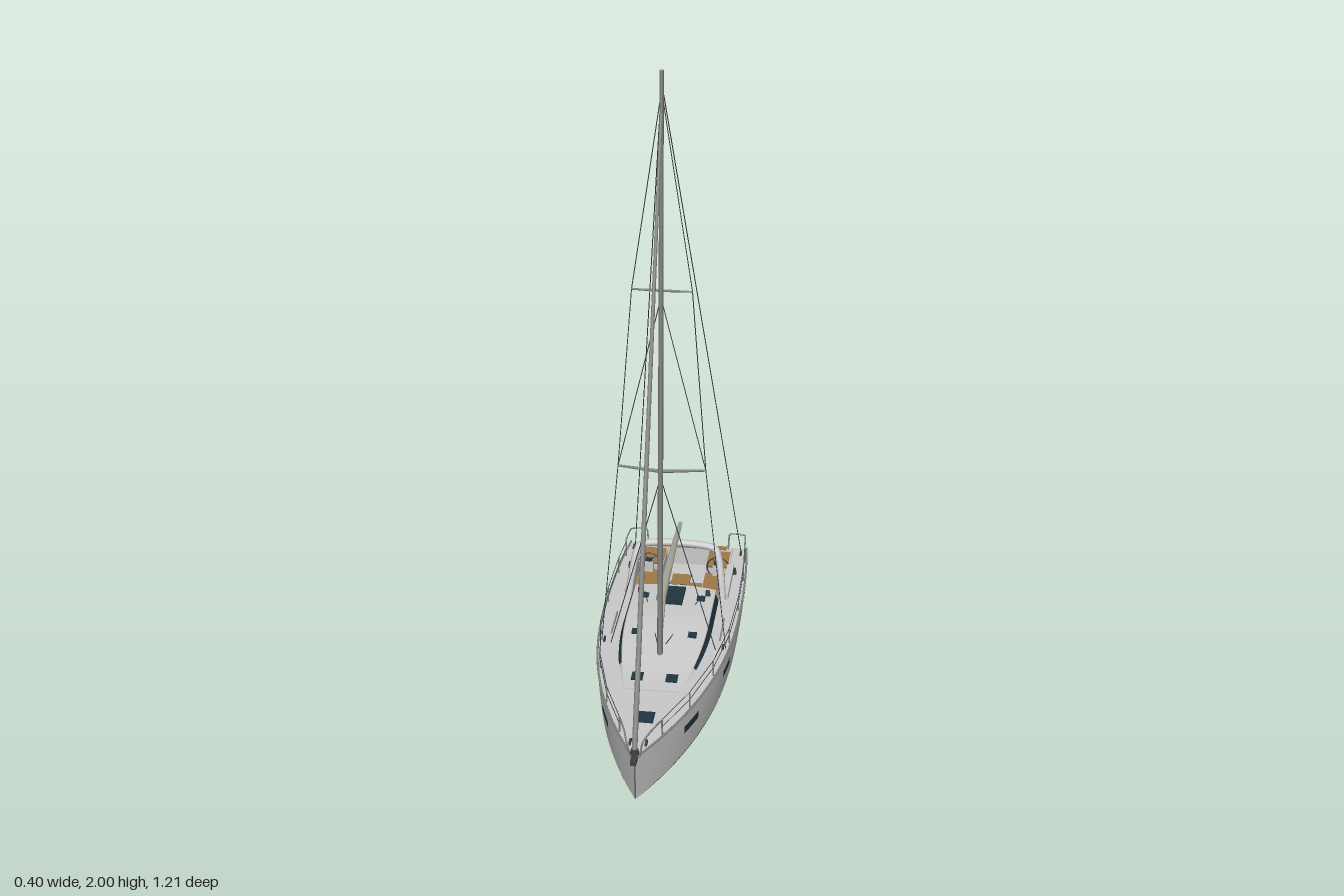
import * as THREE from 'three';
import { toCreasedNormals } from 'three/addons/utils/BufferGeometryUtils.js';

const mat = (color) => new THREE.MeshStandardMaterial({ color, side: THREE.DoubleSide });
const GREY = mat(0xcccccc), BOTTOM = mat(0x4e5a60), FOIL = mat(0x84949d), GLASS = mat(0x1f3540);
const TEAK = mat(0xa07a48), SPAR = mat(0x858885), DARK = mat(0x3c4042), CANVAS = mat(0xa5a498);
const V = (x, y, z) => new THREE.Vector3(x, y, z);
const range = (n, a, b) => Array.from({ length: n + 1 }, (_, i) => a + (b - a) * i / n);

// Hull lines as functions of z
const sheer = (z) => 0.315 + 0.0215 * z;
const beam = (z) => z > -0.25
  ? 0.197 * (1 - Math.pow(Math.min(1, (z + 0.25) / 0.83), 2.4)) + 0.002
  : 0.199 - 0.018 * Math.pow((-z - 0.25) / 0.355, 2);
const waterY = (z) => 0.198 - 0.013 * z;
const depth = (z) => 0.075 * Math.sin(Math.PI * 0.87 * Math.pow(Math.max(0, (0.58 - z) / 1.185), 0.9));
// Point on the topsides: v = 0 at the deck, 1 at the waterline
const side = (z, v, out = 0) => V(beam(z) * (1 - 0.05 * v * v) + out,
  THREE.MathUtils.lerp(sheer(z), waterY(z), v), z * (1 - 0.025 * v));
// Coachroof lines
const roofHalf = (z) => 0.13 - (z > -0.1 ? 0.05 * ((z + 0.1) / 0.35) ** 2 : 0);
const roofRise = (z) => 0.003 + 0.037 * THREE.MathUtils.smoothstep(0.25 - z, 0, 0.4);
const roofY = (x, z) => sheer(z) + roofRise(z) * (1 - 0.3 * (x / roofHalf(z)) ** 2);

// Skin over a list of equal-length cross-sections
function loft(sections, crease = 0.7) {
  const n = sections[0].length, pos = [], idx = [];
  sections.forEach((s) => s.forEach((p) => pos.push(p.x, p.y, p.z)));
  for (let i = 0; i < sections.length - 1; i++)
    for (let j = 0; j < n - 1; j++) {
      const a = i * n + j, b = a + n;
      idx.push(a, b, a + 1, b, b + 1, a + 1);
    }
  const g = new THREE.BufferGeometry();
  g.setAttribute('position', new THREE.Float32BufferAttribute(pos, 3));
  g.setIndex(idx);
  return toCreasedNormals(g, crease);
}

export function createModel() {
  const model = new THREE.Group();
  model.name = 'sailingYacht';
  const add = (name, geo, material = GREY) => {
    const m = new THREE.Mesh(geo, material);
    m.name = name;
    model.add(m);
    return m;
  };
  const box = (name, w, h, d, x, y, z, material) => {
    const m = add(name, new THREE.BoxGeometry(w, h, d), material);
    m.position.set(x, y, z);
    return m;
  };
  const rod = (name, a, b, r, material = SPAR, r2 = r, sides = 6) => {
    const m = add(name, new THREE.CylinderGeometry(r2, r, a.distanceTo(b), sides), material);
    m.position.copy(a).lerp(b, 0.5);
    m.quaternion.setFromUnitVectors(V(0, 1, 0), b.clone().sub(a).normalize());
    return m;
  };
  const pipe = (name, pts, r, material = SPAR, seg = 40, tension = 0.5) =>
    add(name, new THREE.TubeGeometry(new THREE.CatmullRomCurve3(pts, false, 'catmullrom', tension), seg, r, 8), material);
  const drum = (name, r, h, x, y, z, material = DARK) =>
    add(name, new THREE.CylinderGeometry(r * 0.8, r, h, 14), material).position.set(x, y, z);

  // Hull
  const stations = range(56, -0.605, 0.58);
  const flip = (p) => V(-p.x, p.y, p.z);
  const bilge = (z) => range(20, 0, Math.PI).map((t) => {
    const e = side(z, 1), s = Math.sin(t);
    return V(e.x * Math.cos(t), e.y - depth(z) * Math.pow(s, 1.25), e.z + (z < -0.5 ? 0.2 * s * (-z - 0.5) : 0));
  });
  add('hullBottom', loft(stations.map(bilge), 1.2), BOTTOM);
  const stern = [...range(5, 0, 1).map((v) => side(-0.605, v)), ...bilge(-0.605).slice(0, 11)];
  add('transom', loft([stern, stern.map(flip)]));
  box('transomDoor', 0.25, 0.075, 0.006, 0, 0.25, -0.604);
  box('transomStep', 0.24, 0.006, 0.014, 0, 0.303, -0.597, TEAK);

  // Deck with the cockpit cut out
  const outline = [...stations.map((z) => new THREE.Vector2(beam(z), z)),
    ...stations.slice().reverse().map((z) => new THREE.Vector2(-beam(z), z))];
  const deckShape = new THREE.Shape(outline);
  deckShape.holes.push(new THREE.Path([[-0.14, -0.59], [0.14, -0.59], [0.135, -0.28], [-0.135, -0.28]]
    .map((p) => new THREE.Vector2(...p))));
  const deck = new THREE.ShapeGeometry(deckShape), dp = deck.attributes.position;
  for (let i = 0; i < dp.count; i++) dp.setXYZ(i, dp.getX(i), sheer(dp.getY(i)), dp.getY(i));
  deck.computeVertexNormals();
  add('deck', deck);

  // Coachroof
  const roofSection = (z) => {
    const h = roofHalf(z), top = range(12, -0.92, 0.92).map((k) => V(k * h, roofY(k * h, z), z));
    return [V(-h, sheer(z) - 0.002, z), ...top, V(h, sheer(z) - 0.002, z)];
  };
  add('coachroof', loft(range(24, -0.28, 0.25).map(roofSection), 0.5));
  const aft = roofSection(-0.28);
  add('cabinBulkhead', loft([aft, aft.map((p) => V(p.x, 0.24, p.z))]));
  add('roofFront', loft([roofSection(0.25), roofSection(0.25).map((p) => V(p.x, sheer(0.25), p.z))]));
  const pane = (name, w, d, x, z) => {
    const y = z > 0.25 ? sheer(z) : roofY(x, z);
    box(name, w, 0.006, d, x, y + 0.001, z, GLASS).rotation.x = z > 0.25 ? -0.02 : 0.06;
  };
  pane('foreHatch', 0.05, 0.05, 0, 0.385);
  box('companionwayHatch', 0.066, 0.008, 0.1, 0, 0.351, -0.21, GLASS);
  box('companionwayDoor', 0.066, 0.09, 0.006, 0, 0.302, -0.282, GLASS);

  // Cockpit
  box('cockpitFloor', 0.28, 0.006, 0.315, 0, 0.24, -0.4375);
  box('cockpitSole', 0.115, 0.004, 0.19, 0, 0.245, -0.375, TEAK);
  box('cockpitFront', 0.27, 0.07, 0.004, 0, 0.275, -0.278);
  box('cockpitBack', 0.28, 0.06, 0.004, 0, 0.27, -0.59);
  box('tableBase', 0.03, 0.04, 0.1, 0, 0.262, -0.375);
  box('tableTop', 0.056, 0.006, 0.13, 0, 0.29, -0.375, TEAK);

  // Rig: raked mast, furled headsail, boom, vang
  const mastAt = (y) => V(0, y, 0.075 - 0.04 * (y - 0.33) / 1.67);
  rod('mast', mastAt(0.325), mastAt(2), 0.0135, SPAR, 0.009, 14).scale.x = 0.6;
  rod('furledHeadsail', V(0, 0.35, 0.575), V(0, 1.9, 0.04), 0.0075, SPAR, 0.004, 10);
  drum('furlerDrum', 0.012, 0.014, 0, 0.348, 0.576);
  box('bowRoller', 0.016, 0.012, 0.05, 0, 0.329, 0.582, DARK);
  add('boom', loft(range(14, 0, 1).map((t) => {
    const rx = 0.014 - 0.008 * t, ry = 0.013 * Math.sqrt(Math.max(0.02, 1 - t * t)) * (0.8 + 0.2 * Math.sin(t * 3));
    return range(12, 0, Math.PI * 2).map((a) => V(rx * Math.cos(a), 0.497 + ry * Math.sin(a) + 0.008 * Math.sin(t * Math.PI), 0.055 - 0.45 * t));
  })), CANVAS);
  rod('vang', V(0, 0.36, 0.065), V(0, 0.49, -0.065), 0.004);
  pipe('mainsheetArch', [[-0.14, 0.31, -0.275], [-0.133, 0.37, -0.295], [-0.122, 0.43, -0.317], [-0.1, 0.455, -0.33], [0, 0.46, -0.335],
    [0.1, 0.455, -0.33], [0.122, 0.43, -0.317], [0.133, 0.37, -0.295], [0.14, 0.31, -0.275]].map((p) => V(...p)), 0.011, GREY, 60);
  rod('mainsheet', V(0, 0.46, -0.335), V(0, 0.495, -0.34), 0.002, DARK);

  // Keel with bulb, rudder and saildrive
  const foil = (name, rows, thick) => add(name, loft(rows.map(([y, zf, za]) =>
    range(20, 0, Math.PI * 2).map((a) => V(thick * Math.sin(a) * (0.75 + 0.25 * Math.cos(a)), y, (zf + za) / 2 + (zf - za) / 2 * Math.cos(a))))), FOIL);
  foil('keelFin', [[0.145, 0.105, -0.09], [0.115, 0.095, -0.09], [0.09, 0.07, -0.09], [0.02, 0.058, -0.09]], 0.011);
  const bulb = add('keelBulb', new THREE.SphereGeometry(1, 24, 14), BOTTOM);
  bulb.scale.set(0.03, 0.011, 0.11);
  bulb.position.set(0, 0.011, -0.04);
  foil('rudder', [[0.19, -0.495, -0.572], [0.1, -0.502, -0.572], [0.05, -0.51, -0.567], [0.033, -0.52, -0.562], [0.028, -0.54, -0.545]], 0.008);
  box('saildriveLeg', 0.012, 0.06, 0.02, 0, 0.118, -0.285, FOIL);
  rod('propellerHub', V(0, 0.095, -0.275), V(0, 0.095, -0.315), 0.007, DARK);
  for (const a of [0, 1, 2]) {
    const blade = box('propellerBlade', 0.008, 0.044, 0.003, 0, 0.095, -0.308, DARK);
    blade.rotation.z = a * Math.PI / 3;
  }

  // Everything that comes in pairs
  const posts = [-0.4, -0.22, -0.03, 0.15, 0.32, 0.46];
  const rail = (z, h, inset = 0.006) => V(Math.max(0.004, beam(z) - inset), sheer(z) + h, z);
  for (const s of [1, -1]) {
    const M = (p) => V(p.x * s, p.y, p.z);
    add('topsides', loft(stations.map((z) => range(5, 0, 1).map((v) => M(side(z, v)))), 1.2));
    pipe('toeRail', stations.map((z) => M(V(beam(z), sheer(z) + 0.002, z))), 0.003, SPAR, 80);
    for (const [z0, z1] of [[0.28, 0.363], [-0.01, 0.07], [-0.43, -0.345]])
      add('hullWindow', loft(range(4, z0, z1).map((z) => range(2, 0.28, 0.46).map((v) => M(side(z, v, 0.0015))))), GLASS);
    add('cabinWindow', loft(range(16, -0.26, 0.13).map((z) => {
      const h = roofHalf(z), e = roofY(0.92 * h, z);
      return [0.12, 0.95].map((k) => M(V(h * (1 - 0.08 * k) + 0.0015, THREE.MathUtils.lerp(sheer(z), e, k) + 0.001, z)));
    })), GLASS);
    pane('aftRoofHatch', 0.024, 0.024, s * 0.083, -0.21);
    pane('midRoofHatch', 0.024, 0.024, s * 0.081, -0.015);
    pane('foreRoofHatch', 0.032, 0.034, s * 0.048, 0.19);

    // Cockpit sides, seats and steering
    box('cockpitSide', 0.004, 0.07, 0.315, s * 0.138, 0.275, -0.4375);
    box('coaming', 0.02, 0.022, 0.18, s * 0.146, 0.316, -0.37);
    box('bench', 0.068, 0.04, 0.185, s * 0.1, 0.263, -0.375);
    box('benchTeak', 0.064, 0.005, 0.18, s * 0.1, 0.285, -0.375, TEAK);
    box('helmSeat', 0.074, 0.05, 0.1, s * 0.102, 0.268, -0.537);
    box('helmSeatTeak', 0.07, 0.005, 0.096, s * 0.102, 0.295, -0.537, TEAK);
    box('helmPedestal', 0.026, 0.08, 0.022, s * 0.105, 0.283, -0.46);
    box('helmDisplay', 0.022, 0.006, 0.016, s * 0.105, 0.325, -0.459, GLASS);
    add('steeringWheel', new THREE.TorusGeometry(0.034, 0.0022, 6, 28), DARK).position.set(s * 0.105, 0.3, -0.482);
    for (const a of [0, 1, 2])
      box('wheelSpoke', 0.066, 0.002, 0.002, s * 0.105, 0.3, -0.482, DARK).rotation.z = a * Math.PI / 3;

    // Deck gear
    drum('roofWinch', 0.008, 0.016, s * 0.1, roofY(0.1, -0.24) + 0.007, -0.24);
    drum('sheetWinch', 0.009, 0.018, s * 0.157, sheer(-0.44) + 0.009, -0.44);
    box('genoaTrack', 0.004, 0.005, 0.12, s * 0.157, sheer(-0.1) + 0.002, -0.1, SPAR);
    for (const z of [-0.565, 0, 0.51])
      box('cleat', 0.006, 0.008, 0.022, s * (beam(z) - 0.018), sheer(z) + 0.004, z, DARK);
    rod('controlLine', M(V(0.012, roofY(0, 0.04) + 0.003, 0.04)), M(V(0.085, roofY(0.085, -0.23) + 0.003, -0.23)), 0.0015, DARK);

    // Spreaders and standing rigging
    const masthead = mastAt(1.95), upper = M(V(0.08, 1.413, 0.03)), lower = M(V(0.12, 0.897, 0.035));
    const chain = M(V(0.178, 0.315, 0));
    rod('upperSpreader', mastAt(1.42), upper, 0.004, SPAR, 0.0025);
    rod('lowerSpreader', mastAt(0.9), lower, 0.005, SPAR, 0.003);
    for (const [a, b] of [[masthead, upper], [upper, lower], [lower, chain], [mastAt(1.4), lower],
      [mastAt(0.88), M(V(0.15, 0.315, 0.01))], [mastAt(1.97), M(V(0.165, 0.305, -0.585))]])
      rod('stay', a, b, 0.0013, DARK);

    // Guard rails
    for (const z of posts) rod('stanchion', M(rail(z, 0)), M(rail(z, 0.05)), 0.0022);
    for (const h of [0.026, 0.049]) {
      const line = [-0.52, ...posts].map((z) => M(rail(z, h)));
      for (let i = 1; i < line.length; i++) rod('lifeline', line[i - 1], line[i], 0.001, DARK);
    }
    pipe('pulpit', [rail(0.46, 0), rail(0.465, 0.047), rail(0.53, 0.05, -0.004), V(0.022, 0.378, 0.575), V(0.012, 0.33, 0.575)].map(M), 0.0025, SPAR, 40, 0.2);
    pipe('pushpit', [rail(-0.51, 0), rail(-0.515, 0.055), rail(-0.585, 0.057), V(0.13, 0.358, -0.592), V(0.125, 0.302, -0.594)].map(M), 0.0025, SPAR, 40, 0.2);
  }
  return model;
}
